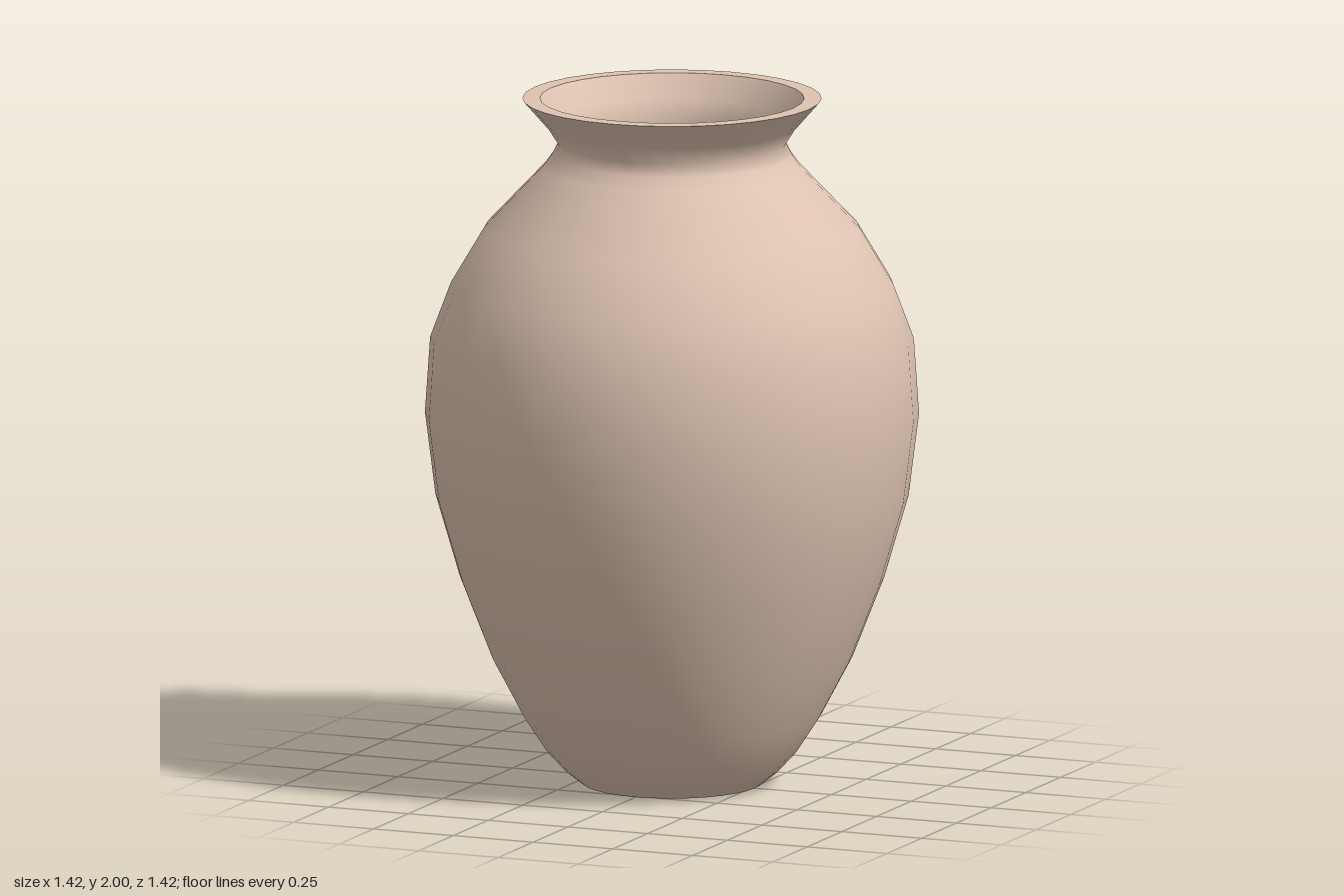
import * as THREE from 'three';

const SIDES = 32;

export function createModel() {
  const vase = new THREE.Group();
  vase.name = 'vase';
  const clay = new THREE.MeshStandardMaterial({ color: 0xdec3b1 });

  // Each part is its own lathe, so edges between parts stay sharp
  const turn = (name, profile) => {
    const points = profile.map(([r, y]) => new THREE.Vector2(r, y));
    const mesh = new THREE.Mesh(new THREE.LatheGeometry(points, SIDES), clay);
    mesh.name = name;
    vase.add(mesh);
  };

  // Outside, from foot to lip
  turn('outerWall', [
    [0.26, 0], [0.31, 0.04], [0.365, 0.1], [0.43, 0.2], [0.52, 0.37],
    [0.61, 0.6], [0.68, 0.84], [0.71, 1.08], [0.695, 1.3], [0.635, 1.46],
    [0.54, 1.62], [0.37, 1.8], [0.345, 1.835], [0.328, 1.87], [0.36, 1.92], [0.43, 2],
  ]);

  // Flat lip
  turn('rim', [[0.43, 2], [0.38, 2]]);

  // Inside, from lip down to the floor
  turn('innerWall', [
    [0.38, 2], [0.335, 1.93], [0.31, 1.87], [0.325, 1.825], [0.35, 1.785],
    [0.52, 1.6], [0.61, 1.45], [0.67, 1.29], [0.685, 1.08], [0.655, 0.85],
    [0.585, 0.61], [0.495, 0.38], [0.405, 0.215], [0.34, 0.12], [0.26, 0.04],
  ]);

  // Floor and underside
  turn('floor', [[0.26, 0.04], [0, 0.04]]);
  turn('base', [[0, 0], [0.26, 0]]);

  return vase;
}
